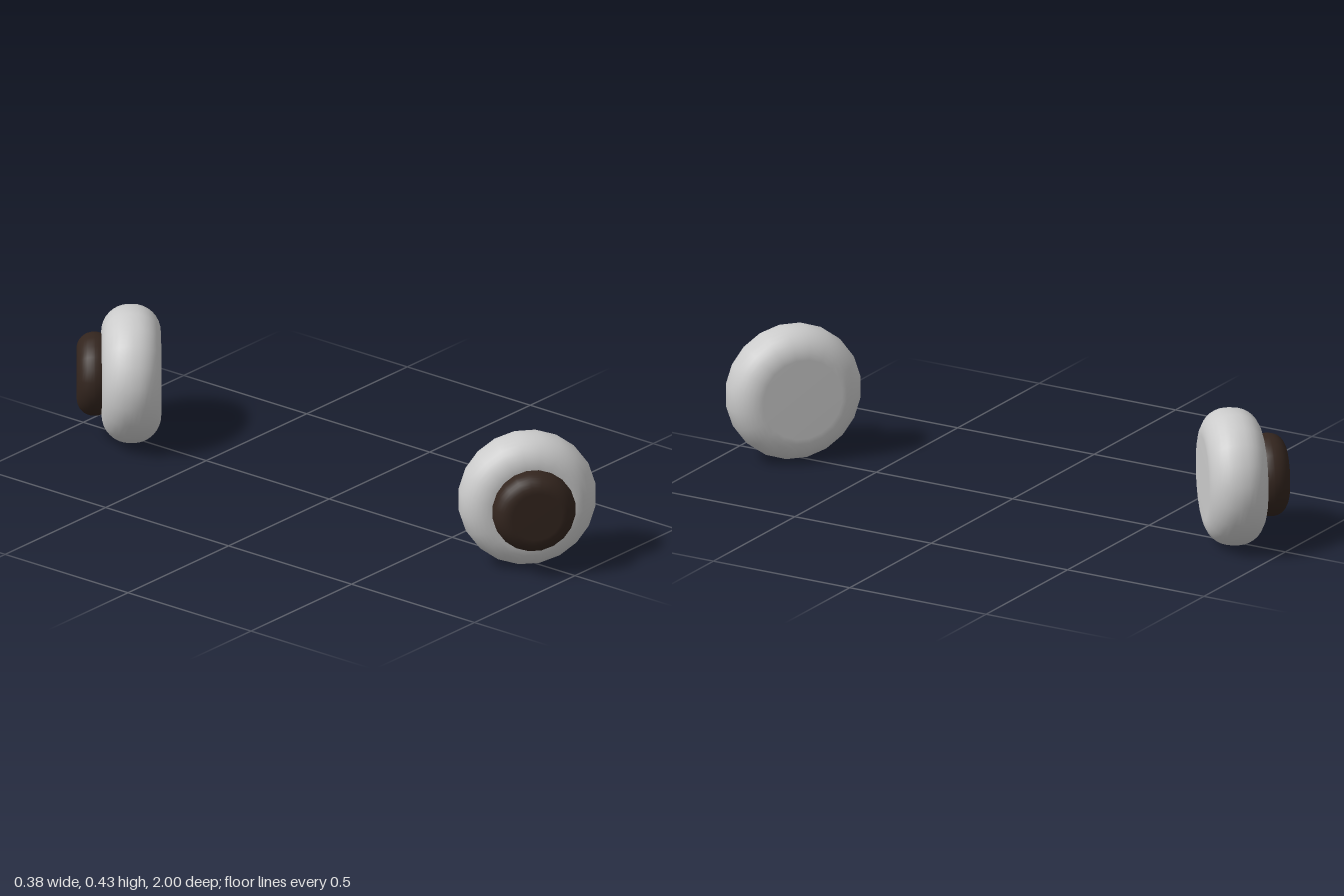
import * as THREE from 'three';

const SIDES = 20;

// Round disc facing +z with softly rounded rims
function roundedDisc(radius, halfDepth, rim, material, name) {
  const points = [new THREE.Vector2(0, -halfDepth)];
  const steps = 8;
  for (const side of [-1, 1]) {
    for (let i = 0; i <= steps; i++) {
      const t = side < 0 ? i / steps : 1 - i / steps;
      const a = t * Math.PI / 2;
      points.push(new THREE.Vector2(
        radius - rim + rim * Math.sin(a),
        side * (halfDepth - rim + rim * Math.cos(a))
      ));
    }
  }
  points.push(new THREE.Vector2(0, halfDepth));
  const geometry = new THREE.LatheGeometry(points, SIDES, Math.PI / SIDES);
  geometry.rotateX(Math.PI / 2);
  const mesh = new THREE.Mesh(geometry, material);
  mesh.name = name;
  return mesh;
}

export function createModel() {
  const model = new THREE.Group();
  model.name = 'eyes';
  const white = new THREE.MeshStandardMaterial({ color: 0xcccccc });
  const dark = new THREE.MeshStandardMaterial({ color: 0x33251e });

  // Two eyes, mirrored front to back, both turned outward and toward -x
  for (const [name, z, degrees] of [['frontEye', 0.805, -40], ['backEye', -0.805, -140]]) {
    const eye = new THREE.Group();
    eye.name = name;
    const pupil = roundedDisc(0.133, 0.056, 0.054, dark, 'pupil');
    pupil.position.z = 0.116;
    eye.add(roundedDisc(0.22, 0.094, 0.088, white, 'eyeball'), pupil);
    eye.position.set(0, 0.219, z);
    eye.rotation.y = THREE.MathUtils.degToRad(degrees);
    model.add(eye);
  }
  return model;
}
